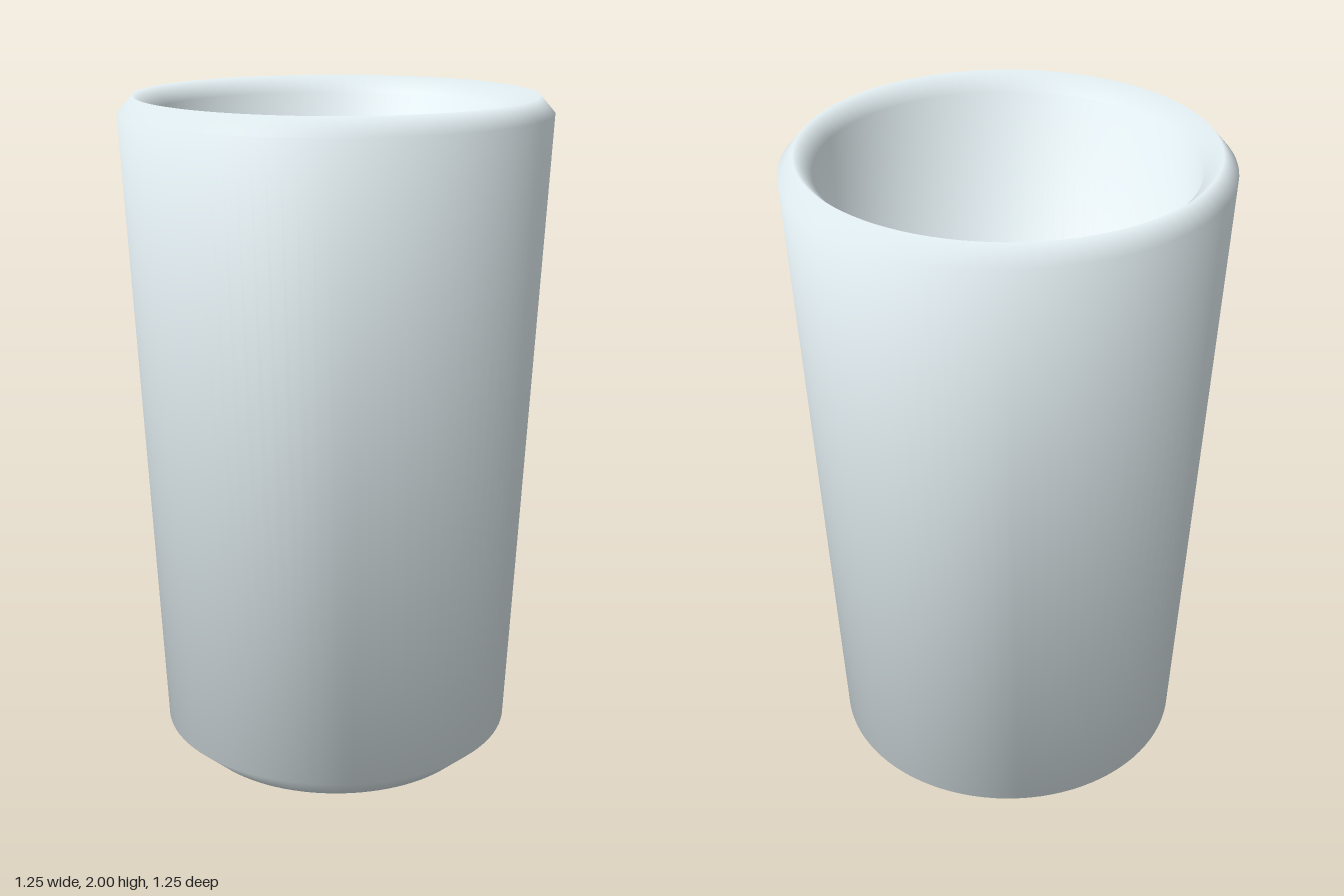
import * as THREE from 'three';

const SEGMENTS = 96;

// Lathe whose normals average the neighbouring faces equally, whatever their length
function smoothLathe(profile) {
  const geometry = new THREE.LatheGeometry(profile, SEGMENTS);
  const faceNormals = profile.slice(1).map((p, j) => {
    const d = p.clone().sub(profile[j]).normalize();
    return new THREE.Vector2(d.y, -d.x);
  });
  const last = faceNormals.length - 1;
  const normals = profile.map((p, j) => faceNormals[Math.max(j - 1, 0)].clone()
    .add(faceNormals[Math.min(j, last)]).normalize());

  const attribute = geometry.attributes.normal;
  for (let i = 0; i <= SEGMENTS; i++) {
    const angle = (i / SEGMENTS) * Math.PI * 2;
    normals.forEach((n, j) => attribute.setXYZ(
      i * profile.length + j, n.x * Math.sin(angle), n.y, n.x * Math.cos(angle)));
  }
  return geometry;
}

export function createModel() {
  const group = new THREE.Group();
  group.name = 'cup';

  // Half-profile [radius, height]: base, outer wall, rim, inner wall, floor
  const profile = [
    [0, 0], [0.44, 0], [0.53, 0.08],
    [0.624, 1.95], [0.58, 2], [0.53, 1.95],
    [0.45, 0.1], [0, 0.1],
  ].map(([r, y]) => new THREE.Vector2(r, y));

  // Smooth tumbler body in pale blue-white
  const body = new THREE.Mesh(
    smoothLathe(profile),
    new THREE.MeshStandardMaterial({ color: 0xe8f4f8 }),
  );
  body.name = 'cupBody';
  group.add(body);

  return group;
}
